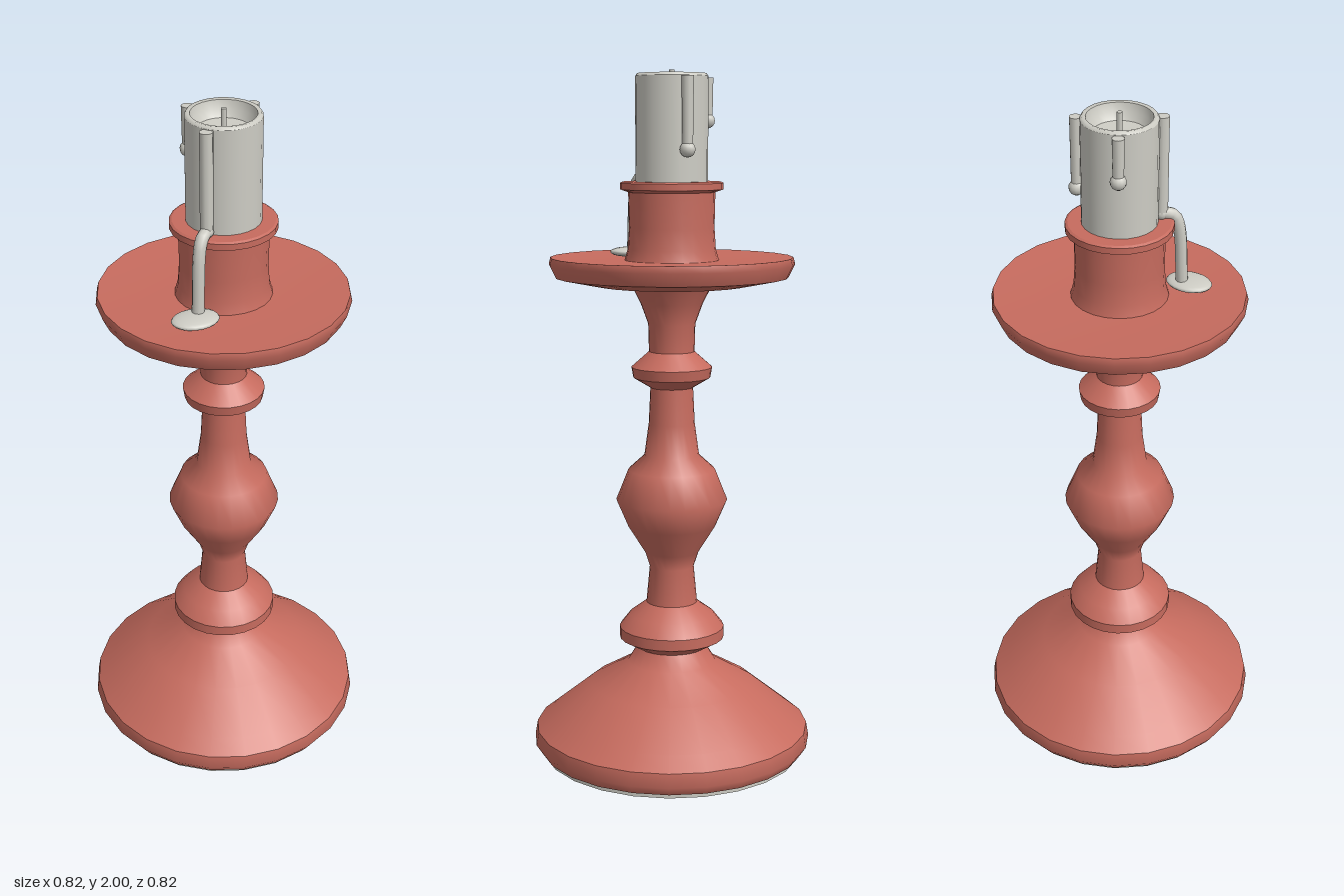
import * as THREE from 'three';

const SIDES = 24;

export function createModel() {
  const model = new THREE.Group();
  model.name = 'candlestick';

  const paint = new THREE.MeshStandardMaterial({ color: 0xc66b5e });
  paint.name = 'red paint';
  const wax = new THREE.MeshStandardMaterial({ color: 0xcdccc4 });
  wax.name = 'pale wax';

  function add(parent, name, geometry, material, x = 0, y = 0, z = 0) {
    const mesh = new THREE.Mesh(geometry, material);
    mesh.name = name;
    mesh.position.set(x, y, z);
    parent.add(mesh);
    return mesh;
  }

  // Each run of [radius, height] is smooth; a new run starts at a sharp edge.
  function turned(parent, name, runs, material) {
    const group = new THREE.Group();
    group.name = name;
    for (const run of runs) {
      const points = run.map(([r, y]) => new THREE.Vector2(r, y));
      add(group, name + 'Surface', new THREE.LatheGeometry(points, SIDES), material);
    }
    parent.add(group);
  }

  // Pad under the foot
  add(model, 'basePad', new THREE.CylinderGeometry(0.385, 0.385, 0.014, SIDES), wax, 0, 0.007, 0);

  // Turned body, from the foot upwards
  turned(model, 'foot', [
    [[0.38, 0.012], [0.395, 0.014]],
    [[0.395, 0.014], [0.412, 0.04], [0.405, 0.08]],
    [[0.405, 0.08], [0.36, 0.116], [0.243, 0.21], [0.13, 0.275], [0.102, 0.32]],
  ], paint);
  turned(model, 'lowerRing', [
    [[0.102, 0.32], [0.155, 0.35]],
    [[0.155, 0.35], [0.155, 0.382]],
    [[0.155, 0.382], [0.125, 0.42], [0.075, 0.457]],
  ], paint);
  turned(model, 'stem', [
    [[0.075, 0.457], [0.065, 0.565], [0.08, 0.61], [0.13, 0.69], [0.163, 0.767],
      [0.127, 0.857], [0.08, 0.9], [0.067, 0.995], [0.062, 1.1]],
  ], paint);
  turned(model, 'upperRing', [
    [[0.062, 1.1], [0.112, 1.13]],
    [[0.112, 1.13], [0.117, 1.16]],
    [[0.117, 1.16], [0.075, 1.197]],
    [[0.075, 1.197], [0.066, 1.205]],
  ], paint);
  turned(model, 'neck', [
    [[0.066, 1.205], [0.068, 1.285], [0.09, 1.345], [0.112, 1.388]],
  ], paint);
  turned(model, 'dripPan', [
    [[0.112, 1.388], [0.22, 1.397], [0.335, 1.42]],
    [[0.335, 1.42], [0.353, 1.457], [0.348, 1.477]],
    [[0.348, 1.477], [0.24, 1.47], [0.135, 1.468]],
  ], paint);
  turned(model, 'socket', [
    [[0.135, 1.468], [0.126, 1.5], [0.122, 1.56], [0.124, 1.66]],
    [[0.124, 1.66], [0.147, 1.668]],
    [[0.147, 1.668], [0.147, 1.686]],
    [[0.147, 1.686], [0.14, 1.69]],
    [[0.14, 1.69], [0.095, 1.69]],
  ], paint);

  // Candle with a melted hollow at the top
  turned(model, 'candle', [
    [[0.103, 1.68], [0.103, 1.982]],
    [[0.103, 1.982], [0.098, 1.99], [0.088, 1.988]],
    [[0.088, 1.988], [0.083, 1.965], [0.07, 1.945]],
    [[0.07, 1.945], [0, 1.94]],
  ], wax);
  add(model, 'wick', new THREE.CylinderGeometry(0.008, 0.008, 0.065, 8), wax, 0, 1.9675, 0);

  // Short drips ending in a bead
  for (const [x, z, end] of [[0.105, -0.046, 1.78], [-0.059, -0.1, 1.86]]) {
    const drip = new THREE.Group();
    drip.name = 'waxDrip';
    drip.position.set(x, 0, z);
    const height = 1.98 - end;
    add(drip, 'dripRun', new THREE.CylinderGeometry(0.017, 0.015, height, 10), wax, 0, end + height / 2, 0);
    add(drip, 'dripBead', new THREE.SphereGeometry(0.022, 12, 8), wax, 0, end, 0);
    model.add(drip);
  }

  // Long drip that runs over the socket rim into a puddle on the pan
  const longDrip = new THREE.Group();
  longDrip.name = 'longWaxDrip';
  add(longDrip, 'upperRun', new THREE.CylinderGeometry(0.018, 0.018, 0.28, 10), wax, -0.083, 1.84, 0.077);
  const bend = new THREE.CatmullRomCurve3([
    new THREE.Vector3(-0.083, 1.705, 0.077),
    new THREE.Vector3(-0.108, 1.694, 0.1),
    new THREE.Vector3(-0.119, 1.66, 0.11),
    new THREE.Vector3(-0.128, 1.485, 0.118),
  ]);
  add(longDrip, 'lowerRun', new THREE.TubeGeometry(bend, 16, 0.017, 10), wax);
  add(longDrip, 'bendBead', new THREE.SphereGeometry(0.019, 10, 8), wax, -0.083, 1.703, 0.077);
  add(longDrip, 'puddle', new THREE.SphereGeometry(1, 20, 10), wax, -0.142, 1.482, 0.133)
    .scale.set(0.067, 0.014, 0.052);
  model.add(longDrip);

  return model;
}
